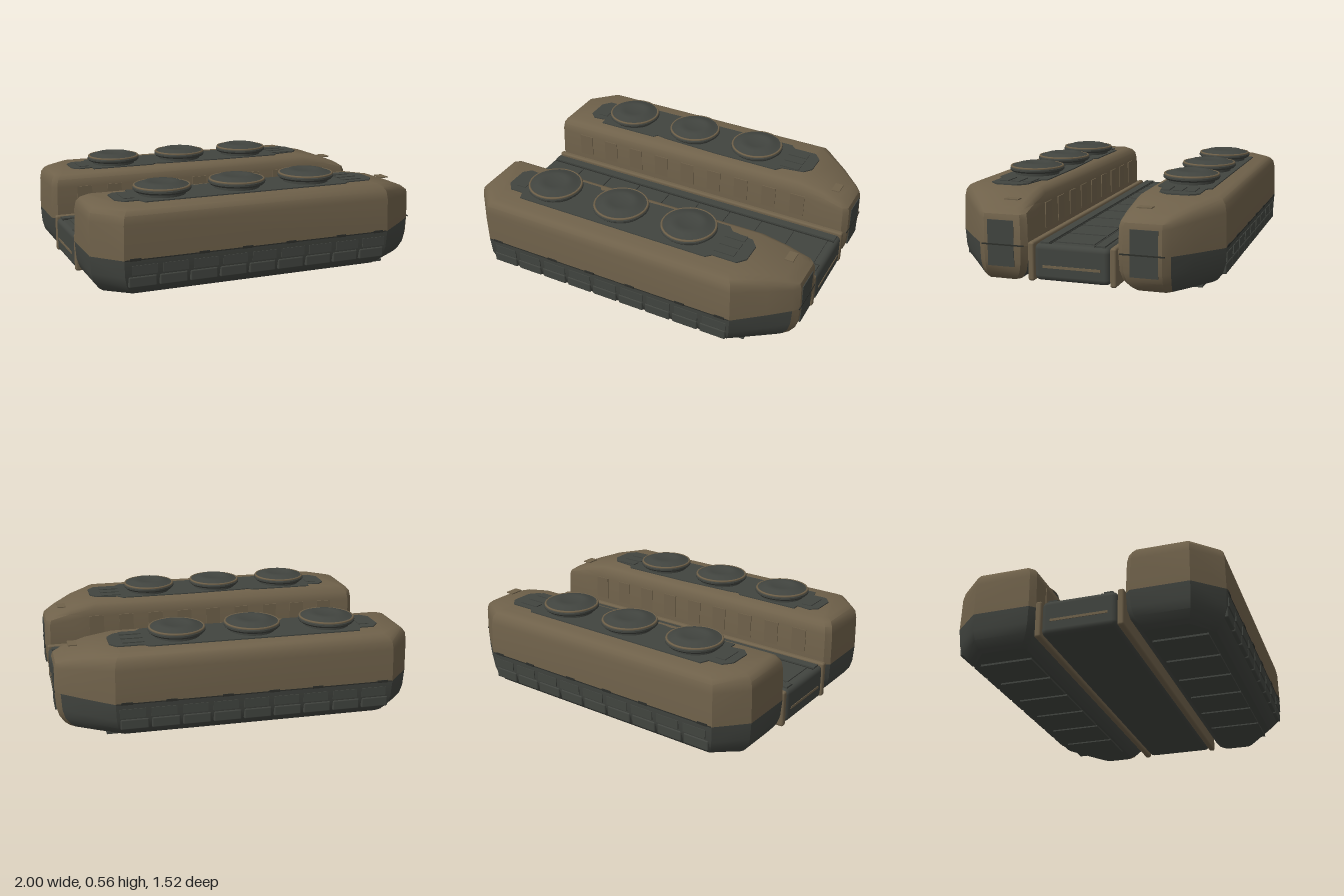
import * as THREE from 'three';
import { toCreasedNormals } from 'three/addons/utils/BufferGeometryUtils.js';
import { RoundedBoxGeometry } from 'three/addons/geometries/RoundedBoxGeometry.js';

const material = (name, color) => {
  const m = new THREE.MeshStandardMaterial({ color });
  m.name = name;
  return m;
};

// Plan of one pod: inner and outer edge, both running from -x to +x
const INNER = [[-1, 0.28], [-0.97, 0.25], [0.7, 0.25], [0.86, 0.25], [0.97, 0.25], [1, 0.28]];
const OUTER = [[-1, 0.6], [-0.86, 0.755], [0.7, 0.755], [0.86, 0.625], [0.97, 0.53], [1, 0.49]];
const PLAN = [...INNER, ...OUTER.slice().reverse()];
const MID_Z = 0.5025, HALF_Z = 0.2525;

// Point of the pod hull: plan shrunk by an inset, nose bent down
function hullPoint([px, pz], y, inset) {
  const x = px * (1 - inset);
  const z = MID_Z + (pz - MID_Z) * (1 - inset / HALF_Z);
  const t = Math.min(1, Math.max(0, (x - 0.7) / 0.27));
  const drop = 0.08 * Math.pow(t, 1.3) * Math.max(0, (y - 0.3) / 0.18);
  return [x, y - drop, z];
}

// Walls between stacked rings, for the plan edges that pass the filter
function hullGeometry(rings, keep, cap) {
  const pos = [];
  const quad = (a, b, c, d) => pos.push(...a, ...b, ...c, ...a, ...c, ...d);
  const n = PLAN.length;
  for (let r = 0; r < rings.length - 1; r++) {
    for (let i = 0; i < n; i++) {
      if (!keep(i)) continue;
      const a = PLAN[i], b = PLAN[(i + 1) % n];
      quad(hullPoint(a, ...rings[r]), hullPoint(a, ...rings[r + 1]),
        hullPoint(b, ...rings[r + 1]), hullPoint(b, ...rings[r]));
    }
  }
  if (cap) {
    const ring = cap === 'top' ? rings[rings.length - 1] : rings[0];
    for (let i = 0; i < INNER.length - 1; i++) {
      const q = [INNER[i], OUTER[i], OUTER[i + 1], INNER[i + 1]].map(p => hullPoint(p, ...ring));
      if (cap === 'bottom') q.reverse();
      quad(...q);
    }
  }
  const g = new THREE.BufferGeometry();
  g.setAttribute('position', new THREE.Float32BufferAttribute(pos, 3));
  return toCreasedNormals(g, 0.6);
}

// Mirror across z = 0 and restore the corner order
function mirrored(geometry) {
  const g = geometry.index ? geometry.toNonIndexed() : geometry.clone();
  g.scale(1, 1, -1);
  for (const attr of Object.values(g.attributes)) {
    const s = attr.itemSize, a = attr.array;
    for (let i = 0; i < attr.count; i += 3) {
      for (let k = 0; k < s; k++) {
        const p = (i + 1) * s + k, q = (i + 2) * s + k;
        [a[p], a[q]] = [a[q], a[p]];
      }
    }
  }
  return g;
}

export function createModel() {
  const tan = material('tan armour', 0x6f614a);
  const dark = material('dark grey plating', 0x41443f);
  const seam = material('seam shadow grey', 0x2c2e2a);

  const model = new THREE.Group();
  model.name = 'twinPodHull';
  const pods = ['front', 'rear'].map(side => {
    const g = new THREE.Group();
    g.name = side + 'Pod';
    model.add(g);
    return g;
  });

  const add = (group, name, geometry, mat) => {
    const mesh = new THREE.Mesh(geometry, mat);
    mesh.name = name;
    group.add(mesh);
  };
  const addPair = (name, geometry, mat) => {
    add(pods[0], name, geometry, mat);
    add(pods[1], name, mirrored(geometry), mat);
  };
  const box = (w, h, d, x, y, z) => new THREE.BoxGeometry(w, h, d).translate(x, y, z);
  const soft = (w, h, d, x, y, z, r) => new RoundedBoxGeometry(w, h, d, 2, r).translate(x, y, z);

  // Pod hulls: tan upper shell, dark skirt, tan nose frame
  const upper = [[0.215, 0], [0.4, 0.004], [0.445, 0.012], [0.468, 0.03], [0.482, 0.058]];
  const lower = [[0.012, 0.075], [0.03, 0.05], [0.07, 0.02], [0.12, 0.006], [0.215, 0]];
  const isNose = i => i >= 4 && i <= 6;
  addPair('upperShell', hullGeometry(upper, () => true, 'top'), tan);
  addPair('lowerSkirt', hullGeometry(lower, i => !isNose(i), 'bottom'), dark);
  addPair('noseFrame', hullGeometry(lower, isNose), tan);
  addPair('nosePanel', box(0.009, 0.25, 0.15, 0.996, 0.225, 0.395), dark);
  addPair('noseSeam', box(0.004, 0.008, 0.24, 0.9995, 0.217, 0.385), seam);

  // Dark deck plate on top of each pod
  const deck = new THREE.Shape([
    [-0.84, 0.4], [-0.8, 0.36], [-0.72, 0.37], [-0.72, 0.325], [-0.34, 0.325], [-0.32, 0.35],
    [-0.26, 0.34], [0.1, 0.325], [0.5, 0.325], [0.53, 0.36], [0.66, 0.38], [0.7, 0.43],
    [0.7, 0.55], [0.66, 0.6], [0.52, 0.6], [0.49, 0.63], [-0.7, 0.63], [-0.72, 0.58],
    [-0.8, 0.58], [-0.84, 0.53],
  ].map(p => new THREE.Vector2(...p)));
  const deckPlate = new THREE.ExtrudeGeometry(deck, { depth: 0.008, bevelEnabled: false })
    .rotateX(Math.PI / 2).translate(0, 0.488, 0);
  addPair('deckPlate', deckPlate, dark);
  addPair('deckHatch', box(0.06, 0.01, 0.13, -0.76, 0.487, 0.47), dark);
  for (const z of [0.4, 0.47, 0.54]) addPair('deckSlat', box(0.12, 0.01, 0.05, 0.57, 0.488, z), dark);

  // Round lift pads: dark flared disc with a thin tan ring on the rim
  const discProfile = [[0.13, 0.48], [0.13, 0.502], [0.15, 0.506], [0.16, 0.516], [0.16, 0.526],
    [0.15, 0.537], [0.125, 0.542], [0.105, 0.552], [0.075, 0.556], [0.06, 0.551], [0, 0.552]]
    .map(p => new THREE.Vector2(...p));
  for (const x of [-0.555, -0.115, 0.315]) {
    const disc = toCreasedNormals(new THREE.LatheGeometry(discProfile, 32), 0.6);
    addPair('liftPad', disc.translate(x, 0, 0.47), dark);
    const ring = new THREE.TorusGeometry(0.151, 0.007, 6, 32).rotateX(Math.PI / 2);
    addPair('liftPadRing', ring.translate(x, 0.533, 0.47), tan);
  }

  // Small hatch on the sloping nose
  addPair('noseHatch', box(0.05, 0.006, 0.08, 0.885, 0.445, 0.37).translate(0, 0, 0), tan);

  // Skirt armour blocks, seam line and seam tabs on the outer side
  for (let i = 0; i < 9; i++) {
    const x = -0.76 + i * 0.17;
    addPair('skirtBlock', soft(0.155, 0.06, 0.03, x, 0.095, 0.739, 0.008), dark);
    addPair('skirtUpperBlock', box(0.14, 0.05, 0.008, x + 0.01, 0.16, 0.753), dark);
  }
  addPair('skirtSeam', box(1.55, 0.006, 0.006, -0.08, 0.215, 0.753), seam);
  for (const x of [-0.8, -0.42, -0.17, 0.09, 0.4, 0.64]) {
    addPair('seamTab', box(0.06, 0.014, 0.008, x, 0.217, 0.754), seam);
  }

  // Low ribs along the inner walls
  for (let i = 0; i < 9; i++) {
    addPair('innerRib', box(0.09, 0.14, 0.008, -0.8 + i * 0.185, 0.33, 0.252), tan);
  }

  // Planks under each pod
  for (let i = 0; i < 6; i++) {
    addPair('bellyPlank', box(0.24, 0.012, 0.3, -0.68 + i * 0.26, 0.007, 0.49), dark);
  }

  // Central bridge with tan side rails
  const bridge = new THREE.Group();
  bridge.name = 'bridge';
  model.add(bridge);
  add(bridge, 'bridgeSlab', soft(1.98, 0.2, 0.42, 0, 0.135, 0, 0.03), dark);
  for (const s of [-1, 1]) {
    add(bridge, 'bridgeRail', soft(1.98, 0.21, 0.036, 0, 0.135, s * 0.228, 0.012), tan);
    add(bridge, 'bridgeEdgeStrip', box(1.94, 0.01, 0.05, 0, 0.238, s * 0.155), dark);
    add(bridge, 'bridgeSeam', box(1.94, 0.004, 0.008, 0, 0.235, s * 0.122), seam);
  }
  for (let i = 0; i < 9; i++) {
    add(bridge, 'bridgeDeckPanel', box(0.19, 0.008, 0.22, -0.84 + i * 0.21, 0.237, 0), dark);
  }
  for (const s of [-1, 1]) {
    add(bridge, 'bridgeEndStripe', box(0.006, 0.014, 0.32, s * 0.99, 0.115, 0), tan);
  }
  return model;
}
